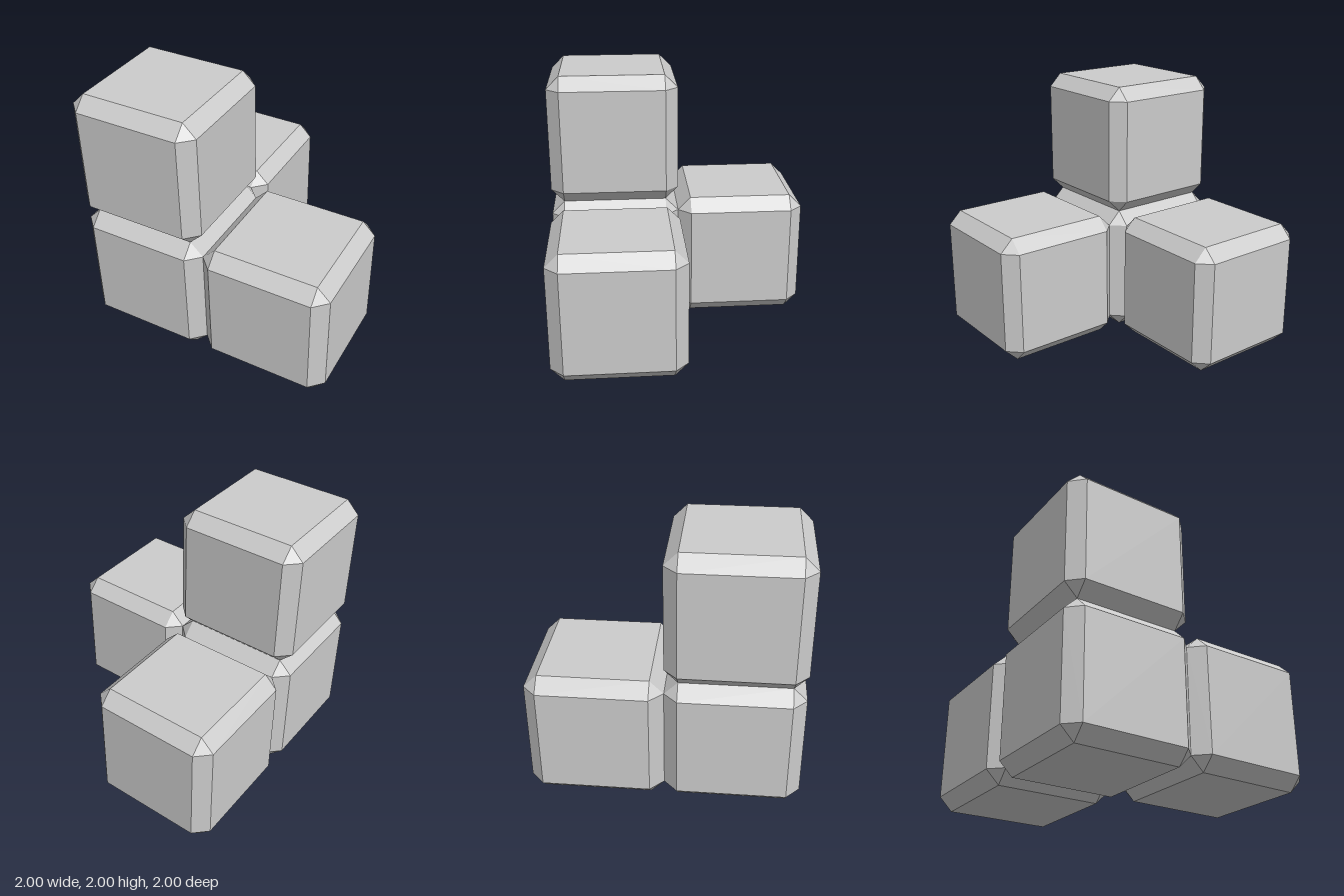
import * as THREE from 'three';
import { ConvexGeometry } from 'three/addons/geometries/ConvexGeometry.js';

// Cube with flat chamfered edges and triangular corners
function chamferedCube(half, chamfer) {
  const inner = half - chamfer;
  const points = [];
  for (const x of [-1, 1]) for (const y of [-1, 1]) for (const z of [-1, 1]) {
    for (let axis = 0; axis < 3; axis++) {
      const size = [inner, inner, inner];
      size[axis] = half;
      points.push(new THREE.Vector3(x * size[0], y * size[1], z * size[2]));
    }
  }
  return new ConvexGeometry(points);
}

export function createModel() {
  const model = new THREE.Group();
  model.name = 'fourCubePiece';
  const material = new THREE.MeshStandardMaterial({ color: 0xcccccc, flatShading: true });
  const geometry = chamferedCube(0.5, 0.1);

  // One corner cube with a neighbour along each axis
  const cubes = {
    cornerCube: [-0.5, 0.5, 0.5],
    topCube: [-0.5, 1.5, 0.5],
    leftCube: [0.5, 0.5, 0.5],
    backCube: [-0.5, 0.5, -0.5],
  };
  for (const [name, position] of Object.entries(cubes)) {
    const cube = new THREE.Mesh(geometry, material);
    cube.name = name;
    cube.position.set(...position);
    model.add(cube);
  }
  return model;
}
